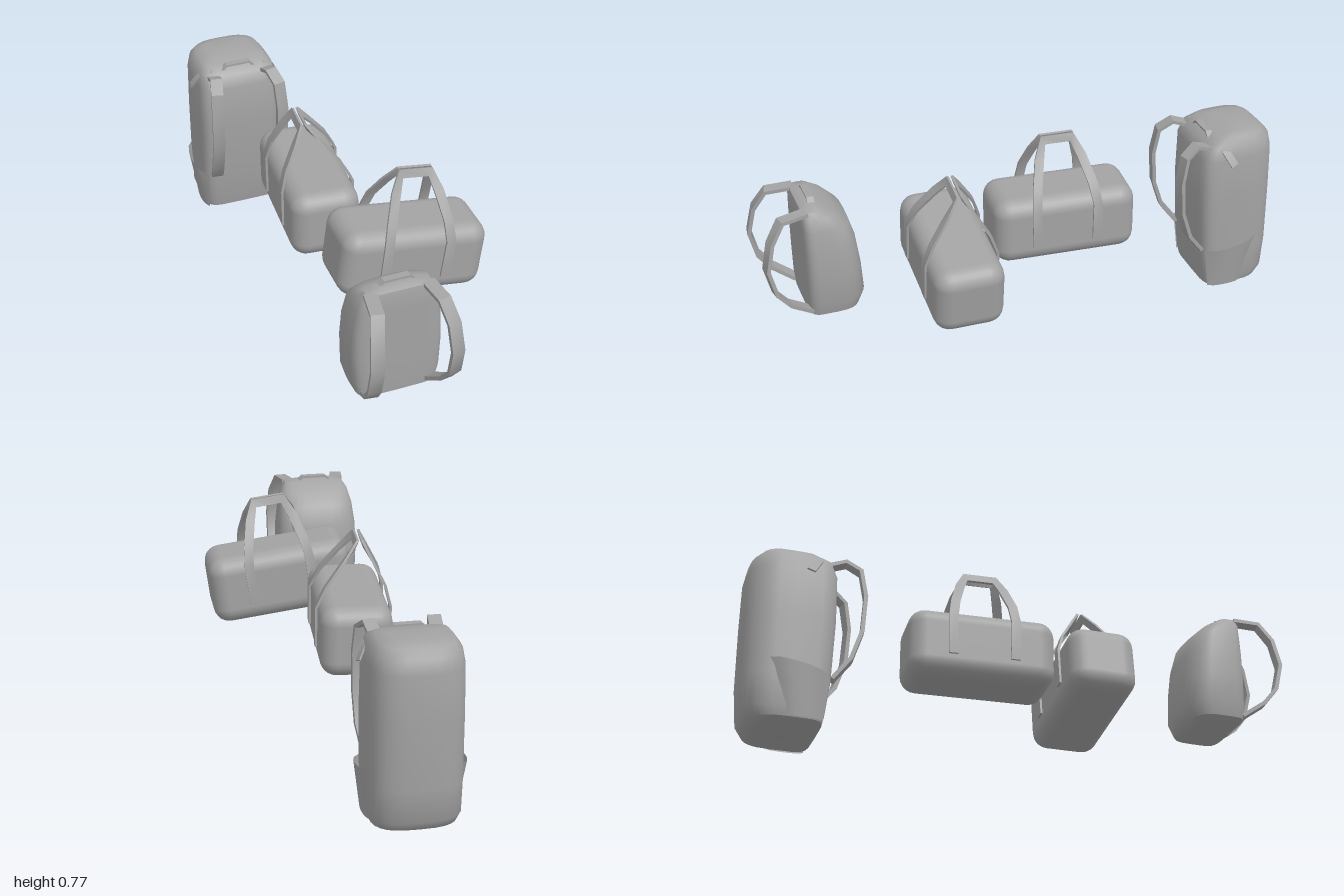
import * as THREE from 'three';
import { toCreasedNormals } from 'three/addons/utils/BufferGeometryUtils.js';
import { RoundedBoxGeometry } from 'three/addons/geometries/RoundedBoxGeometry.js';

const fabric = new THREE.MeshStandardMaterial({ color: 0xa3a3a3, side: THREE.DoubleSide });
fabric.name = 'grey fabric';

const V = (x, y, z) => new THREE.Vector3(x, y, z);

function mesh(name, geometry, parent) {
  const m = new THREE.Mesh(geometry, fabric);
  m.name = name;
  parent.add(m);
  return m;
}

// Joins rings of equal length into a closed skin
function skin(rings, crease) {
  const n = rings[0].length, pos = [], idx = [];
  rings.forEach((r) => r.forEach((p) => pos.push(p.x, p.y, p.z)));
  for (let i = 0; i < rings.length - 1; i++) {
    for (let j = 0; j < n; j++) {
      const a = i * n + j, b = i * n + (j + 1) % n;
      idx.push(a, a + n, b, b, a + n, b + n);
    }
  }
  [0, rings.length - 1].forEach((k) => {
    const c = rings[k].reduce((s, p) => s.add(p), V(0, 0, 0)).divideScalar(n);
    const ci = pos.length / 3;
    pos.push(c.x, c.y, c.z);
    for (let j = 0; j < n; j++) {
      const a = k * n + j, b = k * n + (j + 1) % n;
      if (k === 0) idx.push(ci, a, b); else idx.push(ci, b, a);
    }
  });
  const g = new THREE.BufferGeometry();
  g.setAttribute('position', new THREE.Float32BufferAttribute(pos, 3));
  g.setIndex(idx);
  return toCreasedNormals(g, crease);
}

// Flat strap along points; widthDir gives the direction across the strap
function strap(points, widthDir, width, thick = 0.01) {
  const rings = points.map((p, i) => {
    const a = points[Math.max(i - 1, 0)], b = points[Math.min(i + 1, points.length - 1)];
    const t = b.clone().sub(a).normalize();
    const w = widthDir(t).clone();
    w.addScaledVector(t, -w.dot(t)).normalize();
    const n = t.clone().cross(w).normalize();
    const at = (u, v) => p.clone().addScaledVector(w, u * width / 2).addScaledVector(n, v * thick / 2);
    return [at(1, -1), at(-1, -1), at(-1, 1), at(1, 1)];
  });
  // rings run clockwise along the path, so flip them to face outward
  rings.forEach((r) => r.reverse());
  return skin(rings.reverse(), 0.6);
}

// Soft body from levels [y, half width, outer z, strap-side z]; squarer on the strap side
function packBody(levels, cx) {
  const sides = 28;
  const rings = levels.map(([y, hw, z0, z1]) => {
    const ring = [];
    for (let i = 0; i < sides; i++) {
      const a = (i / sides) * Math.PI * 2, c = Math.cos(a), s = Math.sin(a);
      const e = 2 / (s > 0 ? 6 : 3);
      ring.push(V(cx + hw * Math.sign(c) * Math.abs(c) ** e, y,
        (z0 + z1) / 2 + (z1 - z0) / 2 * Math.sign(s) * Math.abs(s) ** e));
    }
    return ring;
  });
  return skin(rings, 0.75);
}

// Backpack with mirrored shoulder straps [offset, y, z] and a top loop
function backpack(name, cx, levels, strapPath, width, loop) {
  const g = new THREE.Group();
  g.name = name;
  mesh('packBody', packBody(levels, cx), g);
  for (const side of [-1, 1]) {
    const pts = strapPath.map(([x, y, z]) => V(cx + side * x, y, z));
    mesh('shoulderStrap', strap(pts, () => V(1, 0, side * -0.15), width, 0.014), g);
  }
  const [y0, y1, z] = loop;
  mesh('topLoop', strap([V(cx - 0.075, y0, z), V(cx - 0.045, y1, z), V(cx + 0.045, y1, z), V(cx + 0.075, y0, z)],
    () => V(0, 0, 1), 0.025, 0.008), g);
  return g;
}

// Duffel bag with two handles that lean together above it
function duffel(name, lean) {
  const g = new THREE.Group();
  g.name = name;
  mesh('duffelBody', new RoundedBoxGeometry(0.535, 0.255, 0.255, 3, 0.06), g);
  const half = [[0.113, -0.055, 0.131], [0.115, 0.09, 0.132], [0.105, 0.16, 0.105], [0.08, 0.245, 0.05], [0.055, 0.3, 0.012]];
  for (const s of [-1, 1]) {
    const at = (sx) => half.map(([x, y, z]) => V(sx * x, y, s * z + lean * Math.max(0, (y - 0.09) / 0.21)));
    const pts = [...at(-1), ...at(1).reverse()];
    mesh('handle', strap(pts, (t) => V(0, 0.3, s).cross(t), 0.034, 0.009), g);
  }
  return g;
}

// Open side pocket, flaring away from the body toward its top edge
function sidePocket(cx, side) {
  const g = new THREE.PlaneGeometry(1, 1, 6, 3);
  const p = g.attributes.position;
  for (let i = 0; i < p.count; i++) {
    const u = p.getX(i) + 0.5, v = p.getY(i) + 0.5;
    const bulge = Math.sqrt(Math.max(0, Math.sin(Math.PI * u)));
    p.setXYZ(i, cx + side * (0.145 + (0.015 + 0.026 * v) * bulge),
      0.015 + v * (0.165 + 0.04 * u),
      THREE.MathUtils.lerp(-0.73 + 0.02 * v, -0.87 - 0.06 * v, u));
  }
  g.computeVertexNormals();
  return g;
}

export function createModel() {
  const model = new THREE.Group();
  model.name = 'bagCollection';

  // Small backpack at the front
  model.add(backpack('smallBackpack', -0.148, [
    [0.245, 0.11, 0.68, 0.82], [0.26, 0.142, 0.65, 0.847], [0.31, 0.155, 0.63, 0.85],
    [0.42, 0.16, 0.637, 0.85], [0.52, 0.156, 0.65, 0.85], [0.6, 0.145, 0.673, 0.85],
    [0.645, 0.133, 0.72, 0.85], [0.672, 0.115, 0.765, 0.845], [0.682, 0.07, 0.79, 0.825],
  ], [
    [0.1, 0.668, 0.83], [0.115, 0.66, 0.925], [0.132, 0.59, 0.97], [0.139, 0.49, 0.992],
    [0.14, 0.39, 0.968], [0.132, 0.33, 0.92], [0.113, 0.275, 0.84],
  ], 0.046, [0.665, 0.692, 0.8]));

  // Two duffel bags in the middle
  const tilted = duffel('tiltedDuffel', -0.01);
  tilted.position.set(0.075, 0.45, 0.347);
  tilted.rotation.set(0, -0.03, -0.13);
  model.add(tilted);

  const level = duffel('levelDuffel', -0.03);
  level.position.set(-0.102, 0.436, -0.13);
  level.rotation.y = 1.484;
  model.add(level);

  // Tall backpack at the rear
  const cx = -0.165;
  const tall = backpack('tallBackpack', cx, [
    [0, 0.11, -0.93, -0.76], [0.015, 0.148, -0.968, -0.722], [0.05, 0.158, -0.99, -0.715],
    [0.17, 0.16, -1.0, -0.7], [0.4, 0.16, -1.0, -0.69], [0.57, 0.157, -0.997, -0.692],
    [0.62, 0.147, -0.987, -0.71], [0.648, 0.125, -0.96, -0.76], [0.658, 0.085, -0.93, -0.82],
  ], [
    [0.105, 0.615, -0.72], [0.11, 0.635, -0.665], [0.125, 0.6, -0.615], [0.13, 0.5, -0.597],
    [0.13, 0.37, -0.605], [0.127, 0.26, -0.64], [0.115, 0.18, -0.7],
  ], 0.046, [0.62, 0.648, -0.745]);
  for (const side of [-1, 1]) {
    mesh('sidePocket', sidePocket(cx, side), tall);
    // Short strap hanging over the upper corner
    const pts = [[0.1, 0.635, -0.75], [0.145, 0.61, -0.77], [0.174, 0.555, -0.8]]
      .map(([x, y, z]) => V(cx + side * x, y, z));
    mesh('cornerStrap', strap(pts, () => V(0, 0, 1), 0.03, 0.006), tall);
  }
  model.add(tall);

  return model;
}
